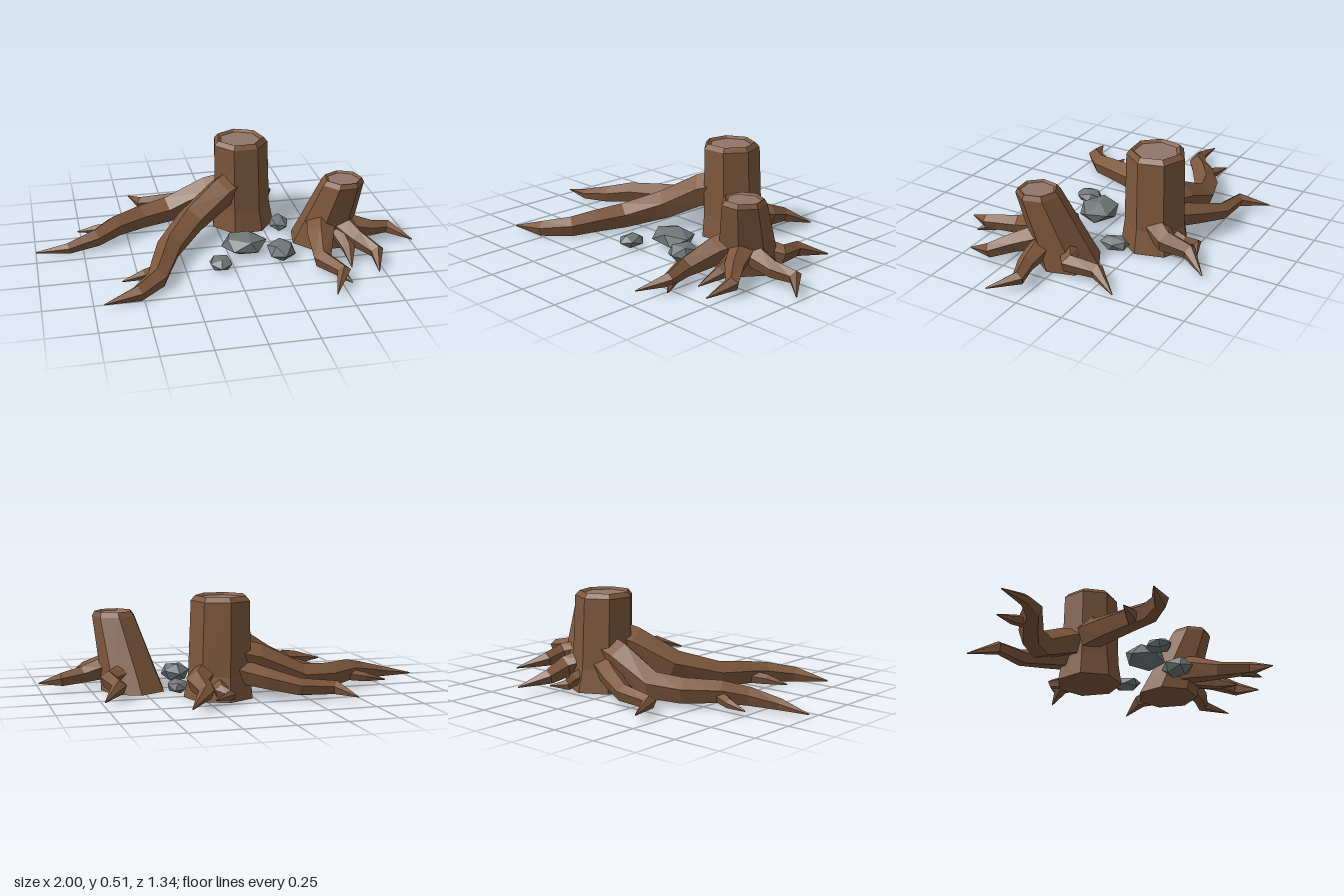
import * as THREE from 'three';

const bark = new THREE.MeshStandardMaterial({ color: 0x7d573c, flatShading: true, name: 'bark' });
const cutWood = new THREE.MeshStandardMaterial({ color: 0x92756a, flatShading: true, name: 'cut wood' });
const stone = new THREE.MeshStandardMaterial({ color: 0x6f7676, flatShading: true, name: 'stone' });

// Skin a list of equal-sized vertex rings, closing the ends on request
function loft(rings, capStart, capEnd) {
  const n = rings[0].length, pos = [];
  const tri = (...pts) => pts.forEach((p) => pos.push(p.x, p.y, p.z));
  for (let k = 0; k < rings.length - 1; k++) {
    for (let i = 0; i < n; i++) {
      const j = (i + 1) % n, lo = rings[k], hi = rings[k + 1];
      tri(lo[i], hi[i], lo[j]);
      tri(lo[j], hi[i], hi[j]);
    }
  }
  const last = rings[rings.length - 1];
  for (let i = 1; i < n - 1; i++) {
    if (capStart) tri(rings[0][0], rings[0][i], rings[0][i + 1]);
    if (capEnd) tri(last[0], last[i + 1], last[i]);
  }
  const geo = new THREE.BufferGeometry();
  geo.setAttribute('position', new THREE.Float32BufferAttribute(pos, 3));
  geo.computeVertexNormals();
  return geo;
}

function mesh(name, geo, mat) {
  const m = new THREE.Mesh(geo, mat);
  m.name = name;
  return m;
}

// Seven-sided trunk; each level is [x, y, z, radius], the last one is the cut face
function stump(levels) {
  const g = new THREE.Group();
  const rings = levels.map(([x, y, z, r]) => Array.from({ length: 7 }, (_, i) => {
    const a = 0.18 + (i / 7) * Math.PI * 2;
    return new THREE.Vector3(x + r * Math.cos(a), y, z + r * Math.sin(a));
  }));
  g.add(mesh('trunk', loft(rings, true, false), bark));
  const face = rings[rings.length - 1];
  g.add(mesh('cutFace', loft([face, face], false, true), cutWood));
  return g;
}

// Tapering five-sided root; each point is [x, y, z, radius], resting on the ground
function root(name, points) {
  const path = points.map(([x, y, z]) => new THREE.Vector3(x, y, z));
  const up = new THREE.Vector3(0, 1, 0);
  const rings = path.map((c, k) => {
    const before = path[Math.max(k - 1, 0)], after = path[Math.min(k + 1, path.length - 1)];
    const t = c.clone().sub(before).normalize().add(after.clone().sub(c).normalize()).normalize();
    const side = t.clone().cross(up).normalize();
    const lift = side.clone().cross(t);
    return Array.from({ length: 5 }, (_, i) => {
      const a = Math.PI / 2 + (i / 5) * Math.PI * 2, r = points[k][3];
      const p = c.clone().addScaledVector(side, r * Math.cos(a)).addScaledVector(lift, r * Math.sin(a));
      p.y = Math.max(p.y, 0.002);
      return p;
    });
  });
  return mesh(name, loft(rings, true, true), bark);
}

export function createModel() {
  const model = new THREE.Group();
  model.name = 'treeStumps';

  // Tall stump with a bevelled rim and slightly sunken cut face
  const tall = stump([
    [0.155, 0, -0.29, 0.178], [0.148, 0.12, -0.285, 0.16], [0.14, 0.485, -0.28, 0.152],
    [0.14, 0.51, -0.278, 0.13], [0.14, 0.498, -0.277, 0.112],
  ]);
  tall.name = 'tallStump';
  tall.add(
    root('frontLeftRoot', [
      [0.09, 0.26, -0.23, 0.09], [0.02, 0.235, -0.19, 0.088], [-0.165, 0.13, -0.09, 0.08], [-0.31, 0.072, 0.09, 0.07],
      [-0.37, 0.062, 0.25, 0.062], [-0.415, 0.05, 0.37, 0.055], [-0.53, 0.035, 0.48, 0.042],
      [-0.7, 0.02, 0.53, 0.003],
    ]),
    root('frontLeftRootBranch', [[-0.4, 0.04, 0.27, 0.035], [-0.48, 0.035, 0.295, 0.028], [-0.59, 0.02, 0.32, 0.003]]),
    root('longLeftRoot', [
      [0.08, 0.21, -0.31, 0.085], [-0.03, 0.185, -0.33, 0.082], [-0.255, 0.085, -0.345, 0.073],
      [-0.415, 0.075, -0.3, 0.067], [-0.57, 0.078, -0.2, 0.058], [-0.68, 0.058, -0.12, 0.048],
      [-0.83, 0.035, -0.07, 0.03], [-1, 0.02, -0.082, 0.003],
    ]),
    root('longLeftRootBranch', [[-0.56, 0.06, -0.21, 0.035], [-0.66, 0.045, -0.25, 0.025], [-0.765, 0.03, -0.267, 0.003]]),
    root('backLeftRoot', [
      [0.06, 0.13, -0.36, 0.065], [-0.06, 0.1, -0.43, 0.055], [-0.2, 0.065, -0.495, 0.045],
      [-0.385, 0.055, -0.515, 0.036], [-0.44, 0.035, -0.67, 0.003],
    ]),
    root('backRightRoot', [
      [0.23, 0.13, -0.33, 0.07], [0.3, 0.105, -0.42, 0.058], [0.29, 0.075, -0.545, 0.04],
      [0.39, 0.025, -0.665, 0.003],
    ]),
    root('backRoot', [
      [0.18, 0.08, -0.38, 0.045], [0.195, 0.06, -0.47, 0.036], [0.165, 0.05, -0.53, 0.028],
      [0.25, 0.04, -0.57, 0.003],
    ]),
  );

  // Short leaning stump
  const short = stump([
    [0.53, 0, 0, 0.168], [0.548, 0.1, 0.03, 0.15], [0.605, 0.375, 0.12, 0.114],
    [0.608, 0.4, 0.122, 0.098], [0.608, 0.391, 0.122, 0.084],
  ]);
  short.name = 'shortStump';
  short.add(
    root('rightRoot', [
      [0.6, 0.13, 0.07, 0.07], [0.68, 0.1, 0.085, 0.058], [0.78, 0.075, 0.088, 0.045],
      [0.89, 0.06, 0.06, 0.036], [0.997, 0.025, 0.175, 0.003],
    ]),
    root('rearRoot', [
      [0.56, 0.1, -0.03, 0.06], [0.675, 0.075, -0.09, 0.05], [0.65, 0.06, -0.23, 0.04],
      [0.745, 0.02, -0.37, 0.003],
    ]),
    root('forwardRoot', [
      [0.52, 0.14, 0.06, 0.085], [0.475, 0.11, 0.19, 0.075], [0.44, 0.06, 0.36, 0.05],
      [0.505, 0.065, 0.52, 0.036], [0.43, 0.025, 0.665, 0.003],
    ]),
    root('forwardRootTwig', [[0.49, 0.045, 0.47, 0.025], [0.515, 0.035, 0.52, 0.018], [0.54, 0.02, 0.56, 0.003]]),
    root('frontRightRoot', [
      [0.61, 0.13, 0.13, 0.065], [0.665, 0.095, 0.24, 0.05], [0.74, 0.06, 0.335, 0.038],
      [0.71, 0.02, 0.475, 0.003],
    ]),
    root('frontSmallRoot', [[0.59, 0.1, 0.15, 0.05], [0.605, 0.06, 0.28, 0.035], [0.585, 0.02, 0.405, 0.003]]),
  );

  model.add(tall, short);

  // Loose stones: [x, z, half width, half height, half depth, turn]
  const rocks = [
    [0.085, 0.09, 0.12, 0.055, 0.088, 0.4], [0.265, 0.19, 0.07, 0.047, 0.09, 1.1],
    [-0.07, 0.245, 0.058, 0.032, 0.075, 2.0], [0.335, -0.15, 0.053, 0.037, 0.07, 2.7],
  ];
  rocks.forEach(([x, z, w, h, d, turn], i) => {
    const geo = new THREE.IcosahedronGeometry(1, 0).rotateY(turn).rotateZ(0.3);
    geo.computeBoundingBox();
    const b = geo.boundingBox;
    geo.scale(w / b.max.x, h / b.max.y, d / b.max.z).translate(x, h, z);
    geo.computeVertexNormals();
    model.add(mesh('stone' + (i + 1), geo, stone));
  });

  return model;
}
